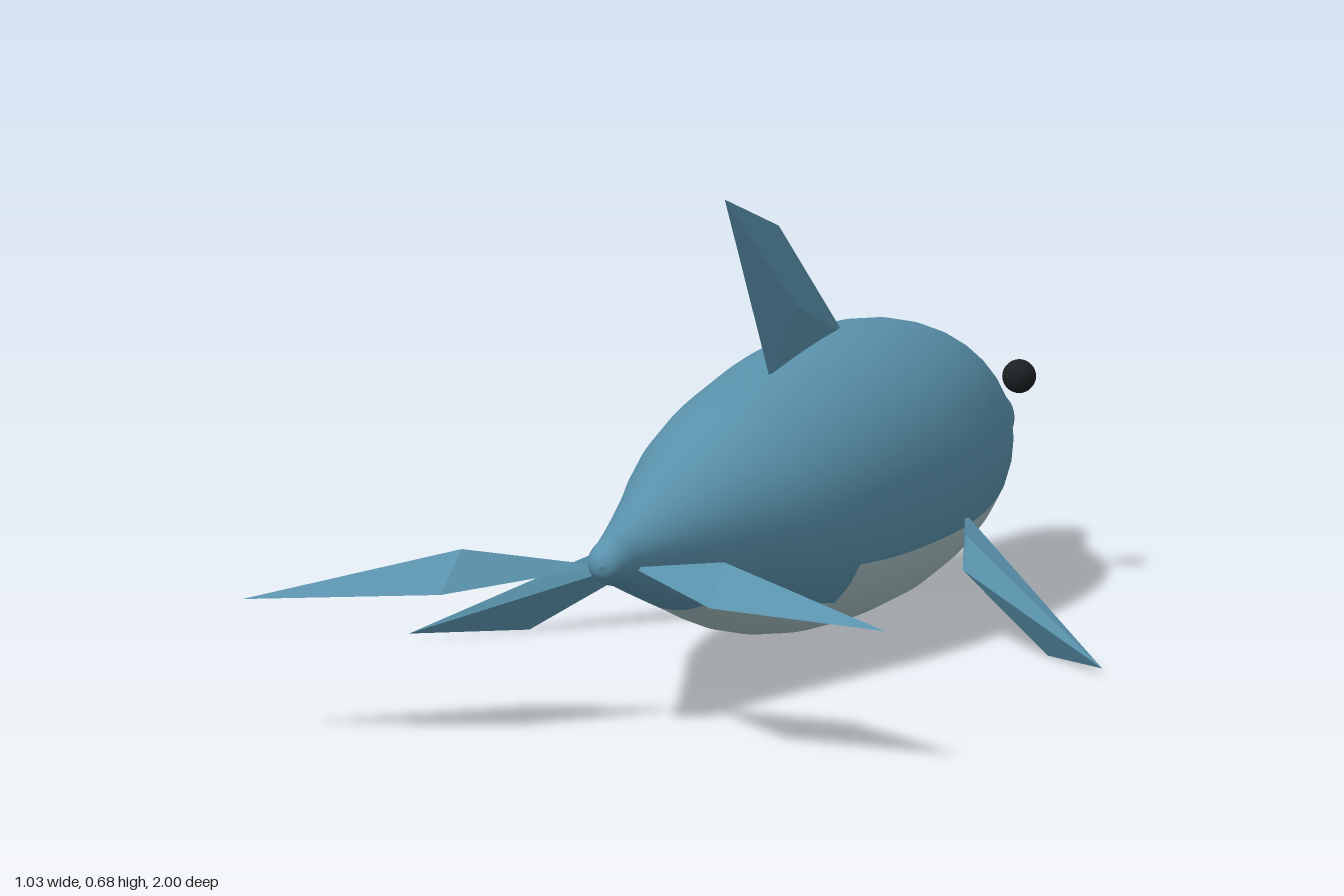
import * as THREE from 'three';
import { ConvexGeometry } from 'three/addons/geometries/ConvexGeometry.js';

const skin = new THREE.MeshStandardMaterial({ name: 'blue skin', color: 0x5a92ac });
const pale = new THREE.MeshStandardMaterial({ name: 'pale belly', color: 0xa6bfc1 });
const black = new THREE.MeshStandardMaterial({ name: 'eye black', color: 0x1c2022 });

// Body stations from nose to tail: z, centre height, radius
const STATIONS = [
  [-1, 0.183, 0], [-0.992, 0.183, 0.02], [-0.97, 0.186, 0.038], [-0.9, 0.192, 0.054],
  [-0.8, 0.205, 0.077], [-0.7, 0.214, 0.118], [-0.6, 0.217, 0.156], [-0.5, 0.219, 0.179],
  [-0.4, 0.218, 0.193], [-0.25, 0.216, 0.201], [0, 0.213, 0.19], [0.2, 0.215, 0.163],
  [0.4, 0.221, 0.116], [0.6, 0.23, 0.07], [0.74, 0.238, 0.039], [0.79, 0.24, 0.03],
  [0.812, 0.24, 0.018], [0.82, 0.24, 0],
];
const SIDES = 32;
const ROWS = 136;

// Angle below horizontal at which the pale belly begins, stepped along the body
function bellyAngle(z) {
  if (z < -0.96 || z > 0.47) return Infinity;
  if (z < -0.8) return 45;
  if (z < -0.62) return 33.75;
  return z < 0.13 ? 22.5 : 45;
}

// Smooth round body lofted along z, with belly faces in their own group
function bodyGeometry() {
  const spine = new THREE.CatmullRomCurve3(STATIONS.map(([z, y, r]) => new THREE.Vector3(r, y, z)));
  const rings = Array.from({ length: ROWS + 1 }, (_, i) => spine.getPoint(i / ROWS));
  const positions = [];
  for (const { x: r, y, z } of rings) {
    for (let j = 0; j < SIDES; j++) {
      const a = (j / SIDES) * Math.PI * 2;
      positions.push(r * Math.cos(a), y + r * Math.sin(a), z);
    }
  }
  const blueFaces = [], bellyFaces = [];
  for (let i = 0; i < ROWS; i++) {
    const limit = bellyAngle((rings[i].z + rings[i + 1].z) / 2);
    for (let j = 0; j < SIDES; j++) {
      const k = (j + 1) % SIDES;
      const a = i * SIDES + j, b = i * SIDES + k;
      const c = a + SIDES, d = b + SIDES;
      const mid = ((j + 0.5) / SIDES) * Math.PI * 2;
      const below = THREE.MathUtils.radToDeg(Math.asin(-Math.sin(mid)));
      const faces = below > limit ? bellyFaces : blueFaces;
      if (i > 0) faces.push(a, b, d);
      if (i < ROWS - 1) faces.push(a, d, c);
      else faces.push(a, b, c);
    }
  }
  const geometry = new THREE.BufferGeometry();
  geometry.setAttribute('position', new THREE.Float32BufferAttribute(positions, 3));
  geometry.setIndex([...blueFaces, ...bellyFaces]);
  geometry.addGroup(0, blueFaces.length, 0);
  geometry.addGroup(blueFaces.length, bellyFaces.length, 1);
  geometry.computeVertexNormals();
  // The nose ring collapses to a point, so aim its normals straight forward
  const normals = geometry.attributes.normal;
  for (let j = 0; j < SIDES; j++) {
    normals.setXYZ(j, 0, 0, -1);
    normals.setXYZ(ROWS * SIDES + j, 0, 0, 1);
  }
  return geometry;
}

// Faceted fin: four outline corners plus one raised ridge point
function fin(name, corners, side = 1) {
  const points = corners.map(([x, y, z]) => new THREE.Vector3(x * side, y, z));
  const mesh = new THREE.Mesh(new ConvexGeometry(points), skin);
  mesh.name = name;
  return mesh;
}

const DORSAL = [[0, 0.405, -0.3], [0, 0.605, 0], [0, 0.68, 0.25], [0, 0.39, 0.04], [0.028, 0.49, 0]];
const FLUKE = [[0.02, 0.228, 0.74], [0.24, 0.217, 0.785], [0.478, 0.197, 0.995], [0.2, 0.208, 0.94], [0.195, 0.262, 0.86]];
const FLIPPER = [[0.18, 0.157, -0.3], [0.22, 0.145, -0.18], [0.515, 0.012, 0.108], [0.385, 0.001, -0.045], [0.225, 0.1, -0.15]];

export function createModel() {
  const model = new THREE.Group();
  model.name = 'dolphin';

  const body = new THREE.Mesh(bodyGeometry(), [skin, pale]);
  body.name = 'body';
  model.add(body, fin('dorsalFin', DORSAL));

  // Mirrored parts
  for (const [label, side] of [['left', 1], ['right', -1]]) {
    const eye = new THREE.Mesh(new THREE.SphereGeometry(0.024, 20, 14), black);
    eye.name = label + 'Eye';
    eye.position.set(0.145 * side, 0.297, -0.66);
    model.add(eye, fin(label + 'Flipper', FLIPPER, side), fin(label + 'TailFluke', FLUKE, side));
  }
  return model;
}
